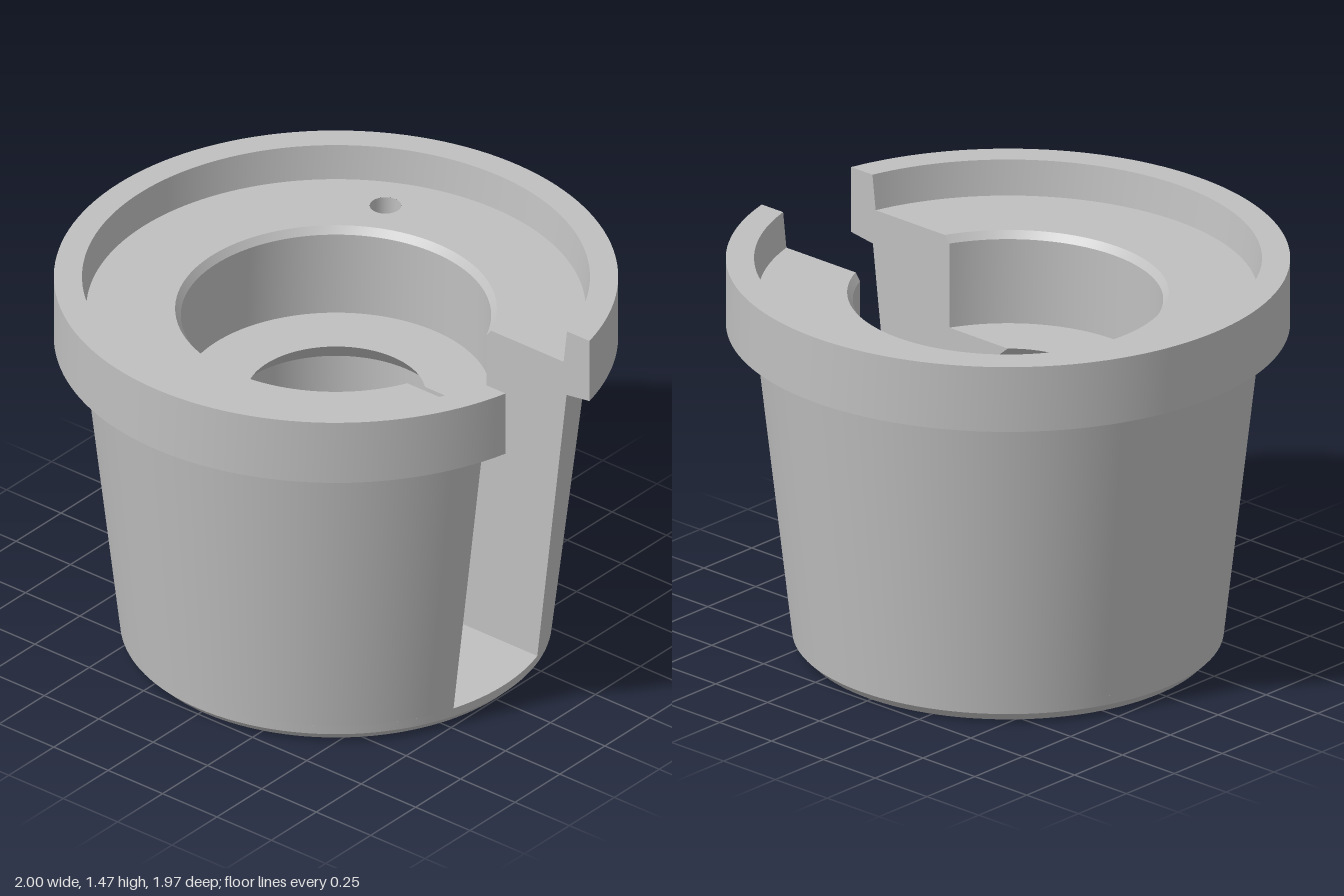
import * as THREE from 'three';
import { mergeGeometries } from 'three/addons/utils/BufferGeometryUtils.js';

const SEG = 128;
const W = 0.233;          // half width of the front slot
const FLOOR = 0.07;       // slot and cavity floor height

// Strip swept round the axis between two profile points, stopping at the slot planes
function slottedBand([r0, y0], [r1, y1]) {
  const pos = [], uv = [], index = [];
  for (let i = 0; i <= SEG; i++) {
    for (const [r, y] of [[r0, y0], [r1, y1]]) {
      const start = Math.asin(W / r);
      const a = start + (2 * Math.PI - 2 * start) * i / SEG;
      pos.push(r * Math.sin(a), y, r * Math.cos(a));
      uv.push(i / SEG, y);
    }
    if (i < SEG) {
      const k = 2 * i;
      index.push(k, k + 2, k + 3, k, k + 3, k + 1);
    }
  }
  const g = new THREE.BufferGeometry();
  g.setAttribute('position', new THREE.Float32BufferAttribute(pos, 3));
  g.setAttribute('uv', new THREE.Float32BufferAttribute(uv, 2));
  g.setIndex(index);
  g.computeVertexNormals();
  return g;
}

// Cut face of the wall on one side of the slot
function slotFace(profile, side) {
  const pts = profile.map(([r, y]) => new THREE.Vector2(side * Math.sqrt(r * r - W * W), y));
  return new THREE.ShapeGeometry(new THREE.Shape(pts))
    .rotateY(-side * Math.PI / 2).translate(side * W, 0, 0);
}

// Flat C-shaped ledge with one round opening
function ledge(rIn, rOut, y, hole) {
  const pts = [];
  const arc = (r, from, to) => {
    const start = Math.asin(W / r);
    for (let i = 0; i <= SEG; i++) {
      const t = from + (to - from) * i / SEG;
      const a = start + (2 * Math.PI - 2 * start) * t;
      pts.push(new THREE.Vector2(r * Math.sin(a), -r * Math.cos(a)));
    }
  };
  arc(rOut, 0, 1);
  arc(rIn, 1, 0);
  const shape = new THREE.Shape(pts);
  shape.holes.push(new THREE.Path().absarc(hole.x, -hole.z, hole.r, 0, Math.PI * 2, true));
  return new THREE.ShapeGeometry(shape, 24).rotateX(-Math.PI / 2).translate(0, y, 0);
}

export function createModel() {
  const model = new THREE.Group();
  model.name = 'slottedCup';
  const grey = new THREE.MeshStandardMaterial({ color: 0xc0c0c0 });
  grey.name = 'grey';
  const greyInside = grey.clone();
  greyInside.side = THREE.DoubleSide;
  const body = new THREE.Group();
  body.name = 'body';
  body.position.z = 0.014;
  model.add(body);
  const add = (name, geometry, material = grey) => {
    const mesh = new THREE.Mesh(geometry, material);
    mesh.name = name;
    body.add(mesh);
    return mesh;
  };

  // Wall profile: outside going up, over the rim, down through the bore and cavity
  const profile = [
    [0.769, FLOOR], [0.898, 1.203], [1, 1.218], [1, 1.467], [0.9, 1.467],
    [0.885, 1.335], [0.57, 1.335], [0.55, 1.308], [0.55, 0.985],
    [0.318, 0.985], [0.39, 0.903], [0.39, FLOOR],
  ];
  const LEDGE = 5;
  const bands = [];
  for (let i = 0; i < profile.length - 1; i++) {
    if (i !== LEDGE) bands.push(slottedBand(profile[i], profile[i + 1]));
  }
  add('wall', mergeGeometries(bands));
  add('slotFaceLeft', slotFace(profile, 1));
  add('slotFaceRight', slotFace(profile, -1));

  // Recessed ledge with a small blind hole
  const pin = { x: 0.655, z: -0.314, r: 0.056, depth: 0.1 };
  add('recessLedge', ledge(0.57, 0.885, 1.335, pin));
  add('pinHoleWall', new THREE.CylinderGeometry(pin.r, pin.r, pin.depth, 32, 1, true), greyInside)
    .position.set(pin.x, 1.335 - pin.depth / 2, pin.z);
  add('pinHoleFloor', new THREE.CircleGeometry(pin.r, 32).rotateX(-Math.PI / 2))
    .position.set(pin.x, 1.335 - pin.depth, pin.z);

  // Base: chamfered edge, upper floor and underside
  const ring = (r0, y0, r1, y1) =>
    new THREE.CylinderGeometry(r1, r0, y1 - y0, SEG, 1, true).translate(0, (y0 + y1) / 2, 0);
  add('baseEdge', mergeGeometries([ring(0.73, 0, 0.765, 0.035), ring(0.765, 0.035, 0.769, FLOOR)]));
  add('baseFloor', new THREE.CircleGeometry(0.769, SEG).rotateX(-Math.PI / 2)).position.y = FLOOR;

  const underside = new THREE.Shape().absarc(0, 0, 0.73, 0, Math.PI * 2);
  const footR = 0.138, footDepth = 0.05;
  for (let i = 0; i < 4; i++) {
    const a = Math.PI / 4 + i * Math.PI / 2;
    const x = 0.54 * Math.cos(a), z = 0.54 * Math.sin(a);
    underside.holes.push(new THREE.Path().absarc(x, z, footR, 0, Math.PI * 2, true));
    add('footRecessWall', new THREE.CylinderGeometry(footR, footR, footDepth, 48, 1, true), greyInside)
      .position.set(x, footDepth / 2, z);
    add('footRecessTop', new THREE.CircleGeometry(footR, 48).rotateX(Math.PI / 2))
      .position.set(x, footDepth, z);
  }
  add('underside', new THREE.ShapeGeometry(underside, 64).rotateX(Math.PI / 2));

  return model;
}
